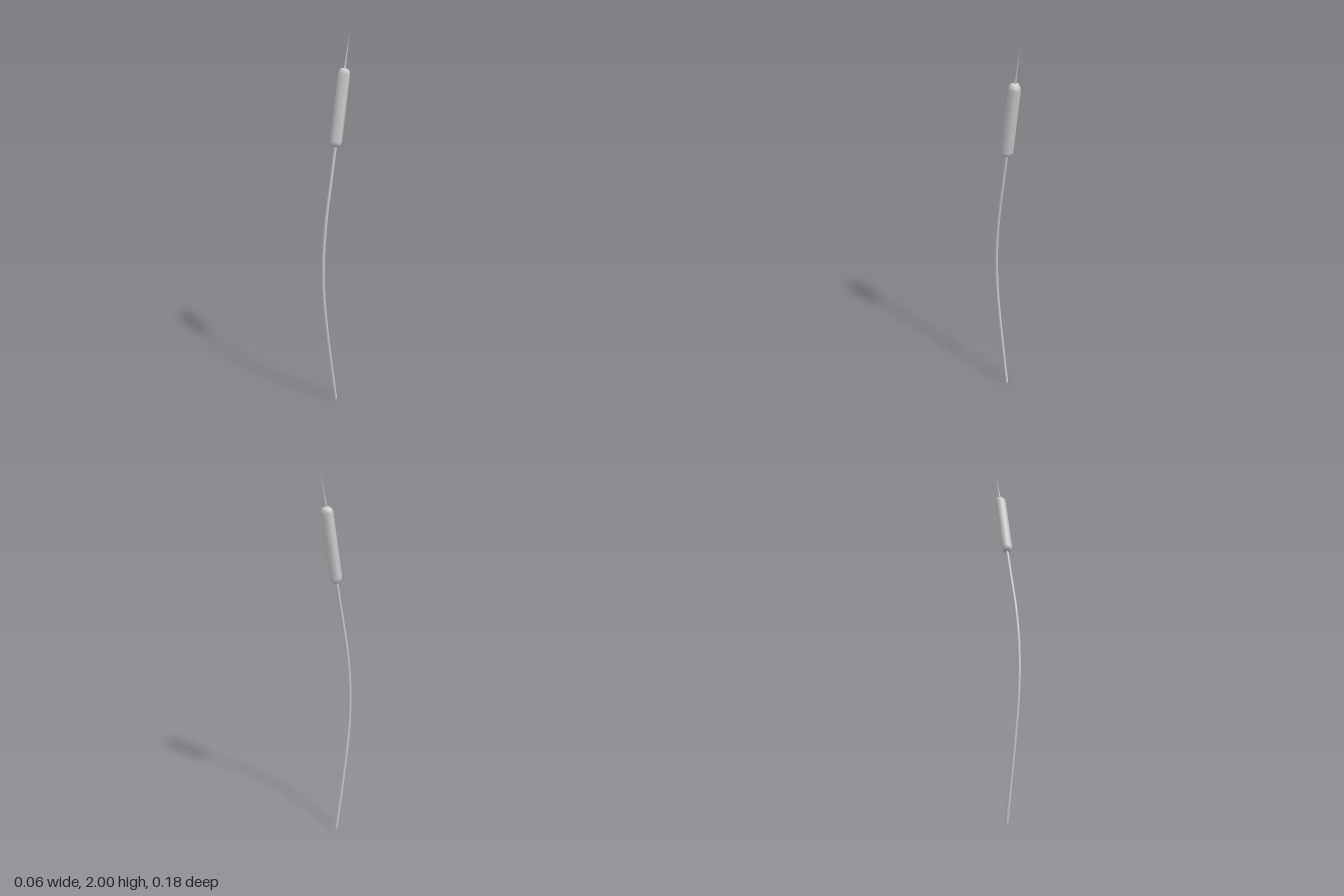
import * as THREE from 'three';

const SIDES = 6;
const material = new THREE.MeshStandardMaterial({ color: 0xcccccc, side: THREE.DoubleSide });
const at = (y, z) => new THREE.Vector3(0, y, z);

// Turned part standing along the line from a to b; profile is [radius, distance along axis]
function turned(name, profile, a, b) {
  const points = profile.map(([r, d]) => new THREE.Vector2(r, d));
  // starting angle puts corners on +x and -x
  const mesh = new THREE.Mesh(new THREE.LatheGeometry(points, SIDES, Math.PI / 2), material);
  mesh.name = name;
  mesh.position.copy(a);
  mesh.quaternion.setFromUnitVectors(new THREE.Vector3(0, 1, 0), b.clone().sub(a).normalize());
  return mesh;
}

export function createModel() {
  const group = new THREE.Group();
  group.name = 'reed';

  const headBase = at(1.46, -0.001), headTop = at(1.845, -0.061), tip = at(2, -0.09);

  // Bowed stem, closed at the foot
  const path = new THREE.CatmullRomCurve3([
    at(0.001, -0.004), at(0.2, 0.025), at(0.4, 0.053), at(0.6, 0.076), at(0.76, 0.084),
    at(0.92, 0.08), at(1.1, 0.061), at(1.3, 0.027), at(1.48, -0.004),
  ]);
  const stem = new THREE.Mesh(new THREE.TubeGeometry(path, 20, 0.008, SIDES), material);
  stem.name = 'stem';
  const foot = new THREE.Mesh(new THREE.CircleGeometry(0.008, SIDES), material);
  foot.name = 'stemFoot';
  foot.position.copy(path.getPoint(0));
  foot.lookAt(foot.position.clone().sub(path.getTangent(0)));
  group.add(stem, foot);

  // Seed head with rounded ends
  const L = headBase.distanceTo(headTop);
  const end = [[0, 0], [0.017, 0.003], [0.027, 0.013], [0.031, 0.03]];
  const profile = [...end, ...end.map(([r, d]) => [r, L - d]).reverse()];
  group.add(turned('seedHead', profile, headBase, headTop));

  // Thin spike above the head
  const spikeLength = headTop.distanceTo(tip);
  group.add(turned('spike', [[0.0055, -0.01], [0.0005, spikeLength]], headTop, tip));

  return group;
}
